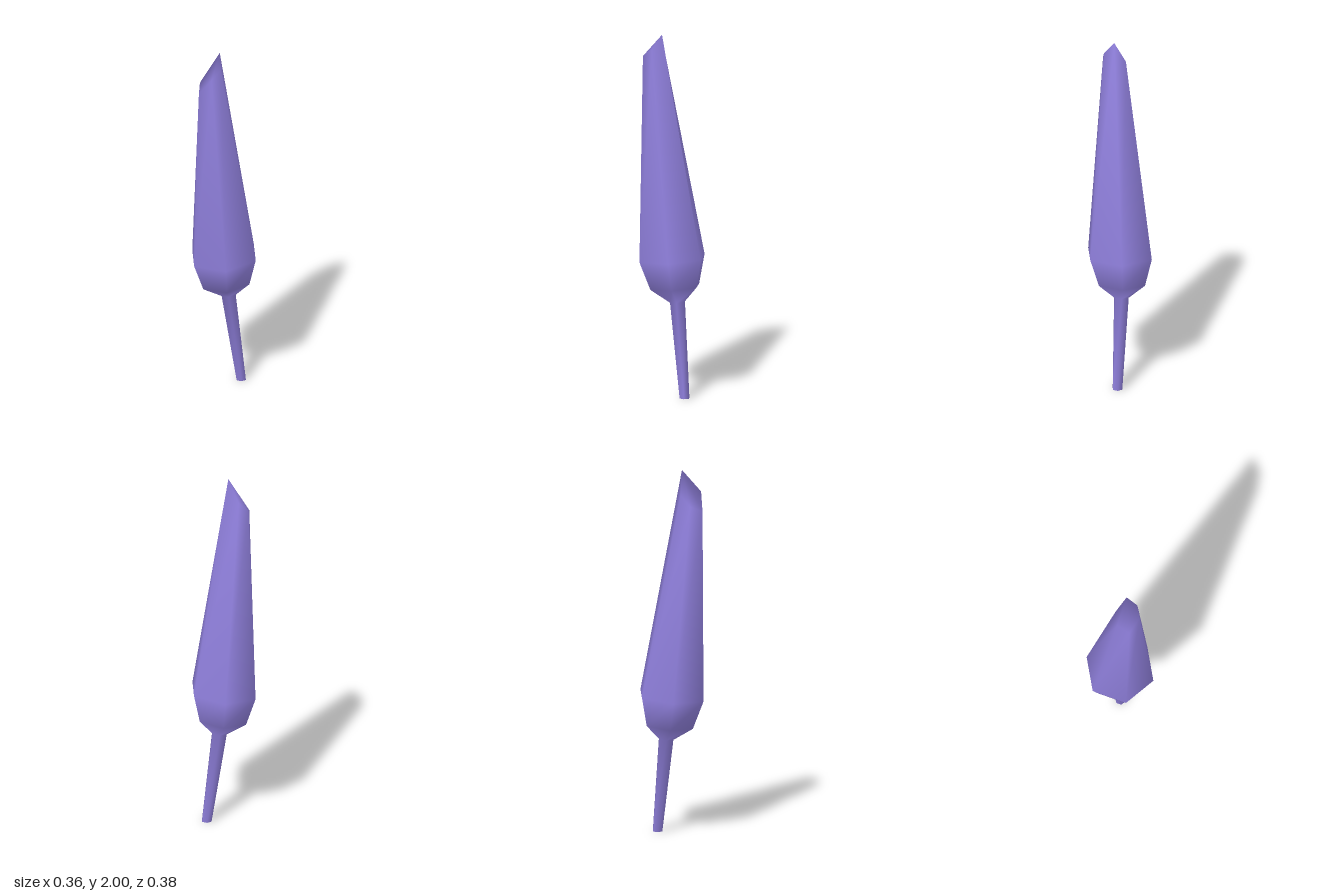
import * as THREE from 'three';

const SIDES = 6;

// Hexagonal cross-section around (cx, cy, cz), tilted by slopes along x and z
function ring(cx, cy, cz, r, slopeX = 0, slopeZ = 0) {
  const points = [];
  for (let k = 0; k < SIDES; k++) {
    const a = THREE.MathUtils.degToRad(-20 + 60 * k);
    const dx = r * Math.cos(a), dz = r * Math.sin(a);
    points.push([cx + dx, cy + slopeX * dx + slopeZ * dz, cz + dz]);
  }
  return points;
}

// Skin a stack of rings with smooth normals and close both ends
function loft(rings) {
  const index = [];
  for (let i = 0; i < rings.length - 1; i++) {
    for (let k = 0; k < SIDES; k++) {
      const a = i * SIDES + k, b = i * SIDES + (k + 1) % SIDES;
      index.push(a, a + SIDES, b, b, a + SIDES, b + SIDES);
    }
  }
  const top = (rings.length - 1) * SIDES;
  for (let k = 0; k < SIDES - 2; k++) {
    index.push(top + 5, top + k + 1, top + k); // slanted tip
    index.push(5, k, k + 1); // flat foot
  }
  const geometry = new THREE.BufferGeometry();
  geometry.setAttribute('position', new THREE.Float32BufferAttribute(rings.flat(2), 3));
  geometry.setIndex(index);
  geometry.computeVertexNormals();
  return geometry;
}

export function createModel() {
  const group = new THREE.Group();
  group.name = 'bud';

  // Leaning stem that swells into a long tapering bud with an oblique tip
  const tip = [
    [0.068, 1.925, 0.088], [0.059, 1.88, 0.146], [-0.01, 1.785, 0.176],
    [-0.06, 1.815, 0.122], [-0.048, 1.875, 0.064], [0.02, 2, 0.05],
  ];
  const geometry = loft([
    ring(0.036, 0, -0.093, 0.029),
    ring(0, 0.52, -0.033, 0.044, 0.03, -0.08),
    ring(-0.003, 0.602, -0.015, 0.144, 0.04, -0.09),
    ring(0, 0.76, 0, 0.192, 0.03, -0.08),
    tip,
  ]);
  const bud = new THREE.Mesh(geometry, new THREE.MeshStandardMaterial({ color: 0x9080dd }));
  bud.name = 'stemAndBud';
  group.add(bud);
  return group;
}
